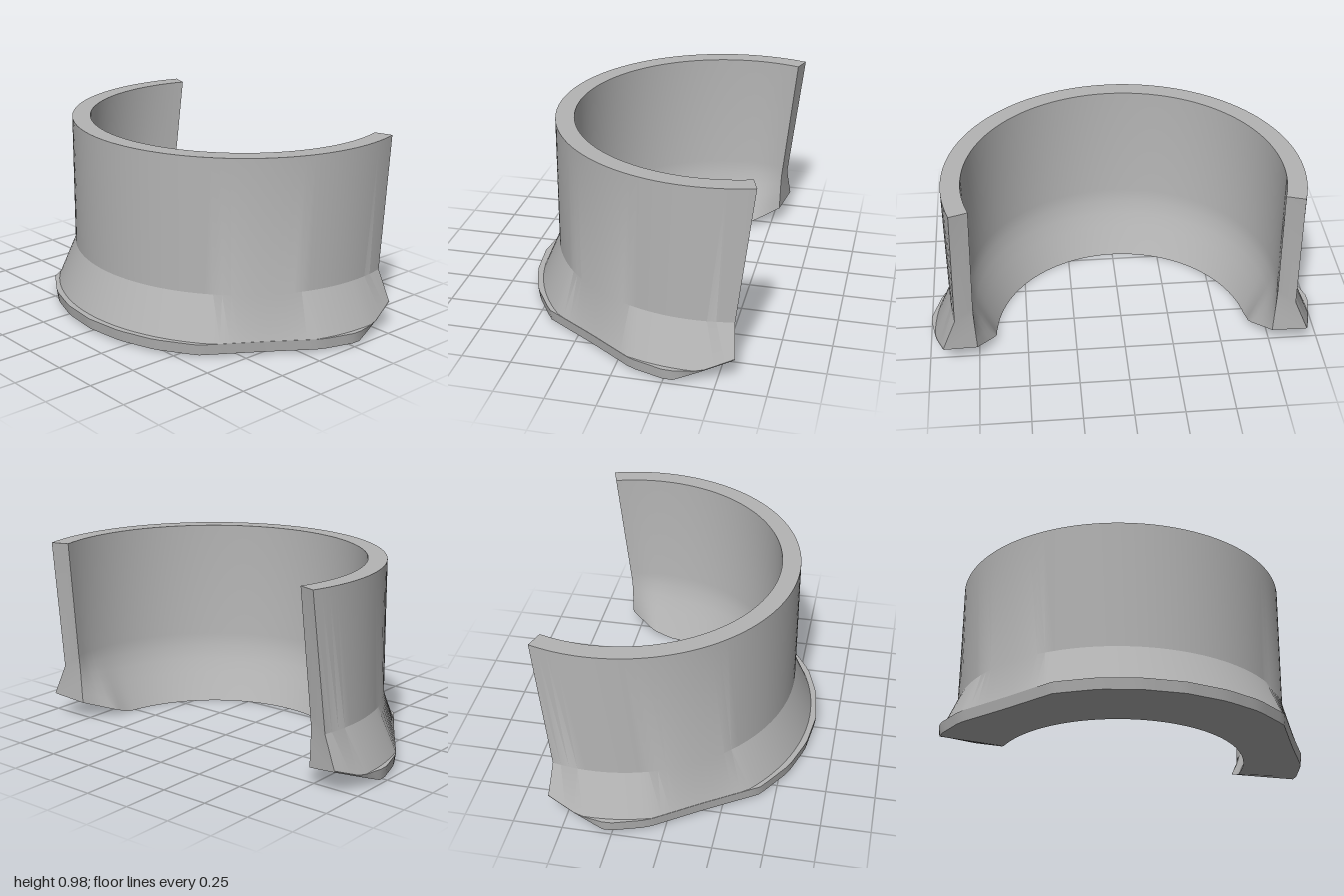
import * as THREE from 'three';
import { toCreasedNormals } from 'three/addons/utils/BufferGeometryUtils.js';

const CENTRE_Z = -0.37; // axis of the round wall
const WALL_OUT = 0.88, WALL_IN = 0.785, TOP = 0.98, WAIST = 0.29;
const COLUMNS = 72;

// half outline of the foot flange, relative to the axis: [x, z], front to back
const OUTLINE = [[0, 1.01], [0.215, 0.985], [0.41, 0.92], [0.6, 0.8], [0.775, 0.53],
  [0.94, 0.29], [1.0, 0.1], [0.97, -0.06], [0.93, -0.205]];

// radius where a ray at angle phi meets the flange outline
function flangeRadius(phi) {
  let k = 0;
  while (k < OUTLINE.length - 2 && Math.atan2(...OUTLINE[k + 1]) < phi) k++;
  const [ax, az] = OUTLINE[k], [bx, bz] = OUTLINE[k + 1];
  return (ax * bz - az * bx) / (Math.sin(phi) * (bz - az) - Math.cos(phi) * (bx - ax));
}

// inner lip radius, curling back to the wall at the open ends
function lipRadius(phi) {
  const u = THREE.MathUtils.clamp((THREE.MathUtils.radToDeg(phi) - 92) / 11, 0, 1);
  return 0.66 + 0.115 * Math.pow(u, 1.3);
}

// the wall ends lean backwards above the waist
const endAngle = (y) => THREE.MathUtils.degToRad(103 + 5.2 * Math.max(0, (y - WAIST) / (TOP - WAIST)));

// closed cross-section at t in [-1, 1]: outside downwards, then inside upwards
function section(t) {
  const phi = Math.abs(t) * endAngle(0);
  const rise = (r) => Math.max(0, -0.3 - (r * Math.cos(phi) + CENTRE_Z)) * 0.39;
  const rf = flangeRadius(phi), lip = lipRadius(phi);
  const under = 0.013 + rise(rf), lipY = rise(lip);
  const ledge = Math.max(0.07, under + 0.008);
  const cone = Math.min(WALL_OUT + 0.43 * (WAIST - ledge), rf - 0.002);
  const points = [[WALL_OUT, TOP], [WALL_OUT, WAIST], [cone, ledge], [rf, ledge], [rf - 0.008, under]];
  // bowl-shaped inside foot
  for (const [s, h] of [[0, 0], [0.25, 0.07], [0.52, 0.15], [0.75, 0.22], [0.92, 0.29], [1, 0.36]]) {
    points.push([lip + (WALL_IN - lip) * s, lipY + (0.36 - lipY) * h / 0.36]);
  }
  points.push([WALL_IN, TOP]);
  return points;
}

function collarGeometry() {
  const positions = [], index = [];
  const count = section(0).length;
  for (let i = 0; i <= COLUMNS; i++) {
    const t = (i / COLUMNS) * 2 - 1;
    for (const [r, y] of section(t)) {
      const phi = t * endAngle(y);
      positions.push(r * Math.sin(phi), y, r * Math.cos(phi) + CENTRE_Z);
    }
  }
  // skin between neighbouring sections
  for (let i = 0; i < COLUMNS; i++) {
    for (let j = 0; j < count; j++) {
      const k = (j + 1) % count, a = i * count, b = a + count;
      index.push(a + j, a + k, b + k, a + j, b + k, b + j);
    }
  }
  // flat caps on both open ends
  const contour = section(1).map(([r, y]) => new THREE.Vector2(r, y));
  for (const [a, b, c] of THREE.ShapeUtils.triangulateShape(contour, [])) {
    const ccw = THREE.ShapeUtils.area([contour[a], contour[b], contour[c]]) > 0;
    const [p, q] = ccw ? [b, c] : [c, b];
    const last = COLUMNS * count;
    index.push(a, p, q, last + a, last + q, last + p);
  }
  const geometry = new THREE.BufferGeometry();
  geometry.setAttribute('position', new THREE.Float32BufferAttribute(positions, 3));
  geometry.setIndex(index);
  return toCreasedNormals(geometry, THREE.MathUtils.degToRad(22));
}

export function createModel() {
  const group = new THREE.Group();
  group.name = 'openCollar';
  const grey = new THREE.MeshStandardMaterial({ color: 0xb4b4b4 });
  grey.name = 'plain grey';
  const collar = new THREE.Mesh(collarGeometry(), grey);
  collar.name = 'collarWithFlaredFoot';
  group.add(collar);
  return group;
}
